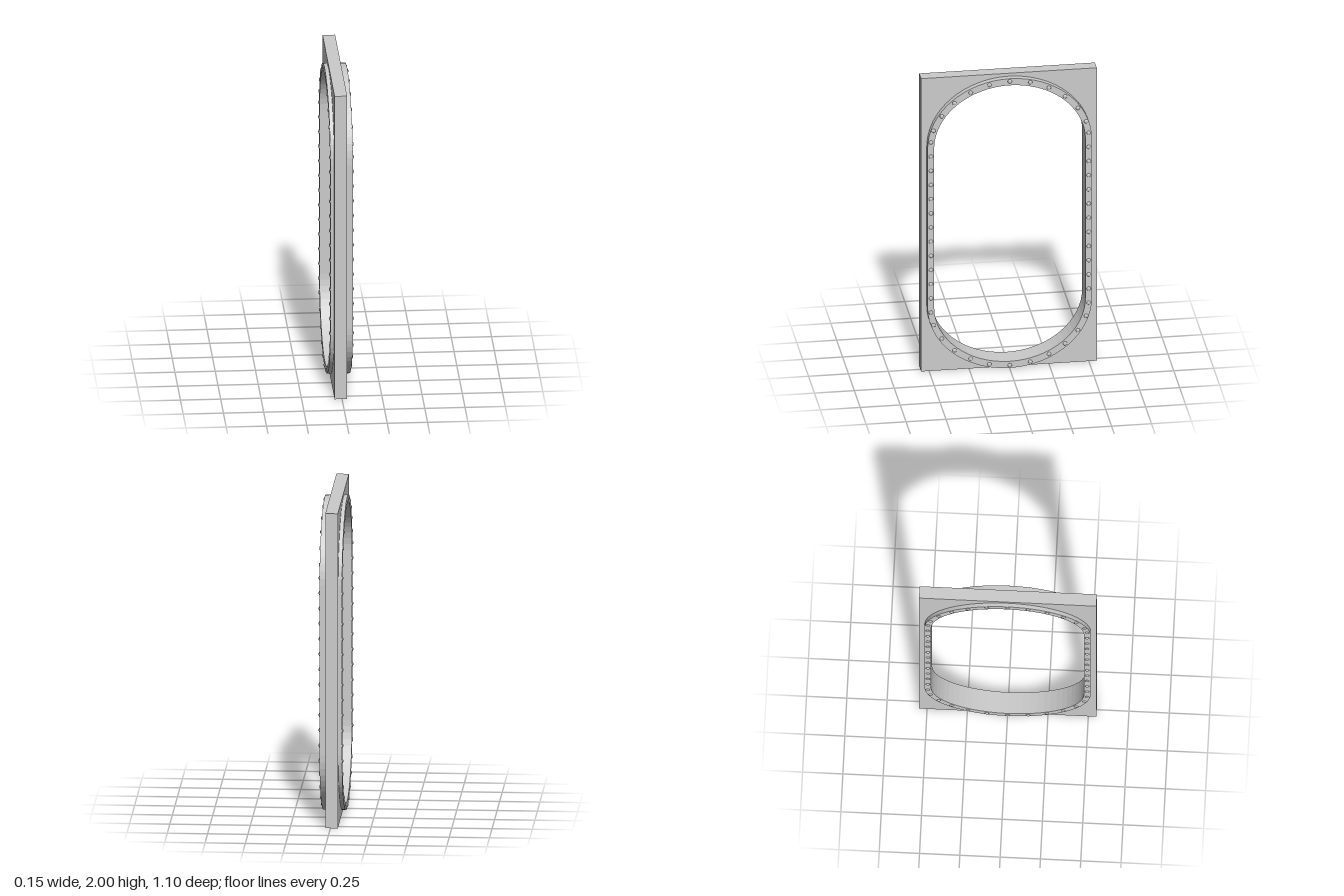
import * as THREE from 'three';

const CY = 0.9925; // height of the opening's centre
const HALF = 0.54; // half length of the straight sides

// Closed outline: straight sides joined by half ellipses
function outline(path, a, b) {
  path.moveTo(a, CY - HALF);
  path.lineTo(a, CY + HALF);
  path.absellipse(0, CY + HALF, a, b, 0, Math.PI, false, 0);
  path.lineTo(-a, CY - HALF);
  path.absellipse(0, CY - HALF, a, b, Math.PI, 2 * Math.PI, false, 0);
  return path;
}

// Extrude a side-on shape along x, from x0 to x1
function slab(shape, x0, x1, name, material) {
  const geo = new THREE.ExtrudeGeometry(shape, {
    depth: x1 - x0, bevelEnabled: false, curveSegments: 16,
  });
  geo.rotateY(Math.PI / 2);
  geo.translate(x0, 0, 0);
  const mesh = new THREE.Mesh(geo, material);
  mesh.name = name;
  return mesh;
}

export function createModel() {
  const group = new THREE.Group();
  group.name = 'portholeFrame';
  const grey = new THREE.MeshStandardMaterial({ color: 0xcccccc });

  // Rectangular wall plate with the opening cut through
  const plate = new THREE.Shape();
  plate.moveTo(-0.55, 0);
  plate.lineTo(0.55, 0);
  plate.lineTo(0.55, 2);
  plate.lineTo(-0.55, 2);
  plate.closePath();
  plate.holes.push(outline(new THREE.Path(), 0.49, 0.42));
  group.add(slab(plate, -0.046, 0.032, 'wallPlate', grey));

  // Rim standing proud on both faces and lining the opening
  const rim = outline(new THREE.Shape(), 0.515, 0.4475);
  rim.holes.push(outline(new THREE.Path(), 0.474, 0.4025));
  group.add(slab(rim, -0.07, 0.07, 'rim', grey));

  // Rivet positions (z, y): straight sides, then the two arches
  const spots = [];
  for (const s of [-1, 1]) {
    for (let i = -6; i <= 6; i++) spots.push([s * 0.494, 0.997 + i * 0.0968]);
    spots.push([0, CY + s * 0.969]);
    const arch = [[0.128, 0.954], [0.245, 0.909], [0.346, 0.844], [0.426, 0.759], [0.478, 0.664]];
    for (const [z, dy] of arch) spots.push([z, CY + s * dy], [-z, CY + s * dy]);
  }

  // Domed rivets on both faces
  const dome = new THREE.SphereGeometry(0.0135, 12, 6, 0, Math.PI * 2, 0, Math.PI / 2);
  dome.scale(1, 0.5, 1);
  dome.rotateZ(-Math.PI / 2);
  const rivets = new THREE.Group();
  rivets.name = 'rivets';
  for (const side of [-1, 1]) {
    for (const [z, y] of spots) {
      const rivet = new THREE.Mesh(dome, grey);
      rivet.name = 'rivet';
      rivet.position.set(side * 0.07, y, z);
      if (side < 0) rivet.rotation.y = Math.PI;
      rivets.add(rivet);
    }
  }
  group.add(rivets);
  return group;
}
